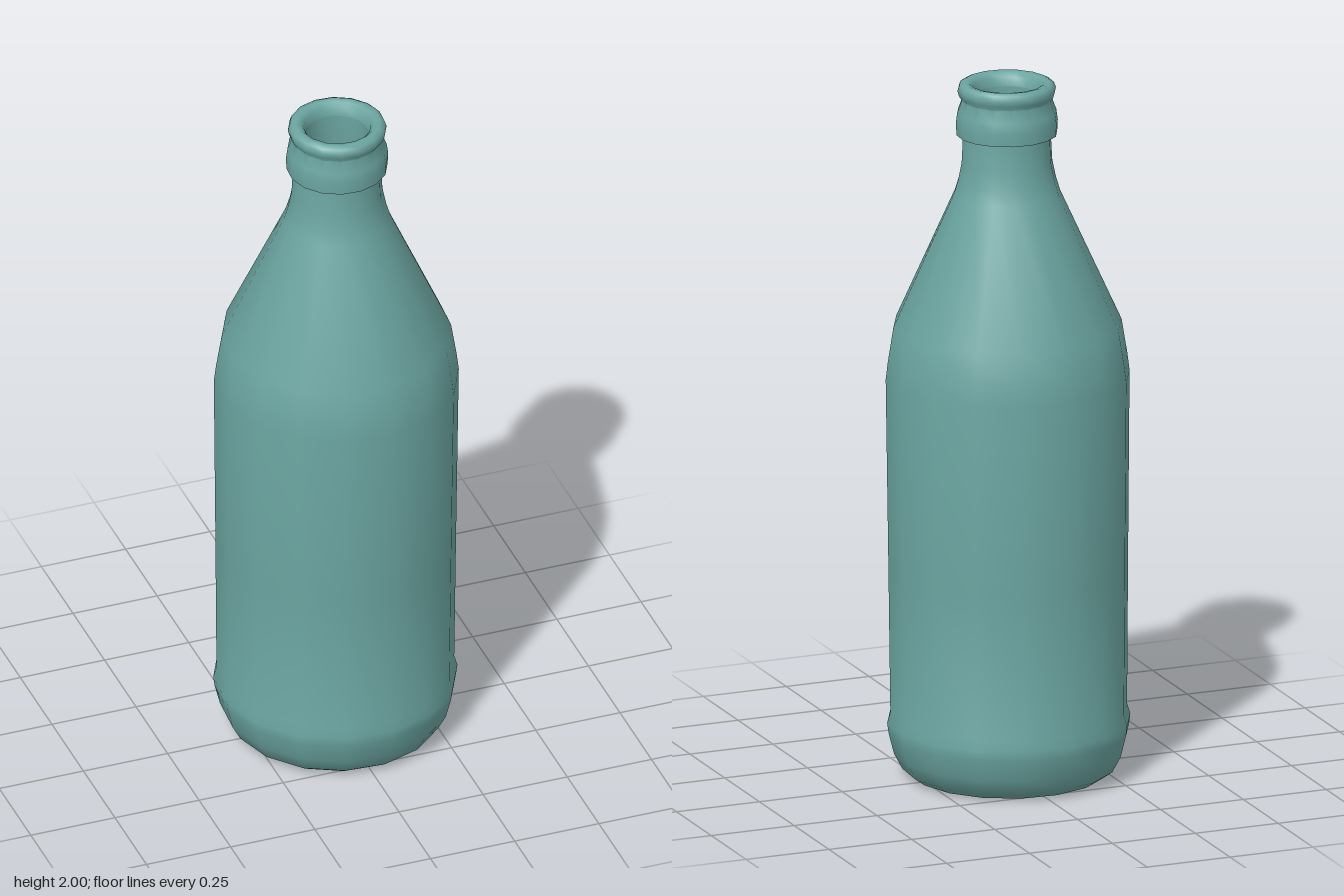
import * as THREE from 'three';
import { toCreasedNormals } from 'three/addons/utils/BufferGeometryUtils.js';

const SIDES = 16;
const TURN = 0.125; // the facets are turned a little about the axis

const glass = new THREE.MeshStandardMaterial({ color: 0x6ba5a1 });
glass.name = 'teal glass';

// Revolve a profile of [radius, height] pairs
function revolve(name, profile) {
  const points = profile.map(([r, y]) => new THREE.Vector2(r, y));
  const geometry = new THREE.LatheGeometry(points, SIDES, TURN);
  const mesh = new THREE.Mesh(toCreasedNormals(geometry, 0.9), glass);
  mesh.name = name;
  return mesh;
}

export function createModel() {
  const bottle = new THREE.Group();
  bottle.name = 'bottle';

  // Base, heel bulge, straight body, shoulder and neck
  bottle.add(revolve('body', [
    [0, 0.008], [0.27, 0], [0.298, 0.02], [0.322, 0.065], [0.337, 0.125],
    [0.341, 0.155], [0.332, 0.185], [0.336, 0.6], [0.342, 1.15], [0.336, 1.2],
    [0.32, 1.3], [0.149, 1.68], [0.137, 1.72], [0.127, 1.77], [0.123, 1.85],
  ]));

  // Collar ring and rolled lip
  bottle.add(revolve('collarAndLip', [
    [0.123, 1.85], [0.141, 1.85], [0.143, 1.885], [0.139, 1.915],
    [0.126, 1.95], [0.134, 1.963], [0.138, 1.978], [0.133, 1.993],
    [0.12, 2.0], [0.105, 1.997], [0.094, 1.985], [0.089, 1.96],
  ]));

  // Hollow inside, from the mouth down to the floor
  bottle.add(revolve('inside', [
    [0.089, 1.96], [0.09, 1.77], [0.115, 1.68], [0.285, 1.3],
    [0.307, 1.15], [0.3, 0.15], [0.25, 0.04], [0, 0.04],
  ]));

  // The whole bottle leans very slightly forward
  bottle.rotation.x = 0.008;
  bottle.position.set(0, 0.001, -0.006);

  const model = new THREE.Group();
  model.name = 'glassBottle';
  model.add(bottle);
  return model;
}
